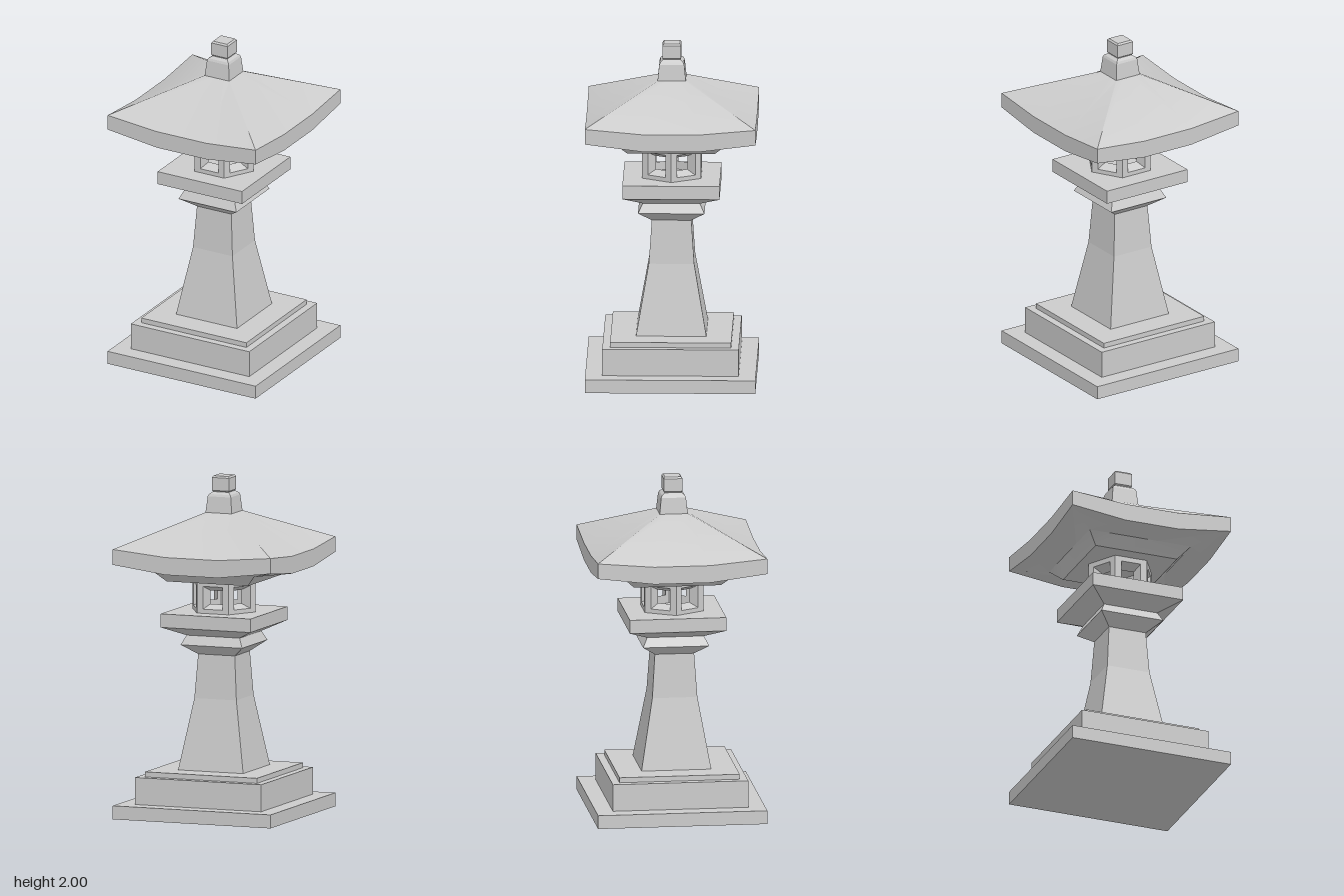
import * as THREE from 'three';
import { toCreasedNormals } from 'three/addons/utils/BufferGeometryUtils.js';

const material = new THREE.MeshStandardMaterial({ color: 0xcccccc });

// Skin a list of closed rings (arrays of [x, y, z]); optionally cap both ends.
function loft(rings, capped = true, crease = 0) {
  const pos = [];
  const tri = (...pts) => pts.forEach((p) => pos.push(...p));
  const n = rings[0].length;
  for (let i = 0; i < rings.length - 1; i++) {
    for (let j = 0; j < n; j++) {
      const k = (j + 1) % n;
      const [a, b, c, d] = [rings[i][j], rings[i][k], rings[i + 1][k], rings[i + 1][j]];
      tri(a, b, c);
      tri(a, c, d);
    }
  }
  if (capped) {
    const first = rings[0], last = rings[rings.length - 1];
    for (let j = 0; j < n; j++) {
      const k = (j + 1) % n;
      tri([0, first[0][1], 0], first[k], first[j]);
      tri([0, last[0][1], 0], last[j], last[k]);
    }
  }
  const geo = new THREE.BufferGeometry();
  geo.setAttribute('position', new THREE.Float32BufferAttribute(pos, 3));
  geo.computeVertexNormals();
  return crease ? toCreasedNormals(geo, crease) : geo;
}

// Horizontal square ring of half-width h; each side has n segments, corners raised by lift.
function square(h, y, n = 1, lift = 0) {
  const ring = [];
  for (let side = 0; side < 4; side++) {
    for (let s = 0; s < n; s++) {
      const u = h, v = h * (1 - (2 * s) / n);
      const [x, z] = [[u, v], [v, -u], [-u, -v], [-v, u]][side];
      ring.push([x, y + (s === 0 ? lift : 0), z]);
    }
  }
  return ring;
}

// Upright rectangular ring facing +z.
const rect = (w, y0, y1, z) => [[-w, y0, z], [w, y0, z], [w, y1, z], [-w, y1, z]];

export function createModel() {
  const model = new THREE.Group();
  model.name = 'stoneLantern';
  const add = (name, geo, parent = model) => {
    const mesh = new THREE.Mesh(geo, material);
    mesh.name = name;
    parent.add(mesh);
    return mesh;
  };
  // Square-section solid from [halfWidth, y] pairs, bottom to top
  const stack = (name, profile) => add(name, loft(profile.map(([h, y]) => square(h, y))));

  // Stepped base
  stack('baseSlab', [[0.5, 0], [0.5, 0.08]]);
  stack('basePlinth', [[0.4, 0.08], [0.4, 0.24]]);
  stack('baseStep', [[0.355, 0.24], [0.355, 0.27]]);

  // Tapering post
  stack('post', [[0.206, 0.27], [0.133, 0.69], [0.116, 0.95]]);

  // Collar and platform under the light chamber
  stack('collar', [[0.116, 0.95], [0.195, 1.01], [0.168, 1.065]]);
  stack('platform', [[0.168, 1.065], [0.285, 1.12], [0.285, 1.2]]);

  // Hollow hexagonal light chamber: six panels with splayed windows
  const chamber = new THREE.Group();
  chamber.name = 'lightChamber';
  model.add(chamber);
  const radius = 0.2, apothem = radius * Math.cos(Math.PI / 6);
  const inner = apothem - 0.06;
  const panel = loft([
    rect(radius / 2, 1.2, 1.39, apothem),
    rect(0.061, 1.225, 1.36, apothem),
    rect(0.04, 1.25, 1.33, inner),
    rect(inner * Math.tan(Math.PI / 6), 1.2, 1.39, inner),
  ], false);
  for (let i = 0; i < 6; i++) {
    add('windowPanel', panel, chamber).rotation.y = (i * Math.PI) / 3;
  }

  // Roof with raised corners and softly shaded slopes
  add('roof', loft([
    square(0.257, 1.39, 3),
    square(0.32, 1.455, 3),
    square(0.5, 1.465, 3, 0.042),
    square(0.5, 1.568, 3, 0.03),
    square(0.083, 1.785, 3),
  ], true, 0.65));

  // Finial
  stack('finialBase', [[0.083, 1.785], [0.073, 1.88], [0.067, 1.893], [0.05, 1.906]]);
  stack('finialTop', [[0.047, 1.905], [0.055, 1.914], [0.055, 1.99], [0.047, 2]]);

  return model;
}
